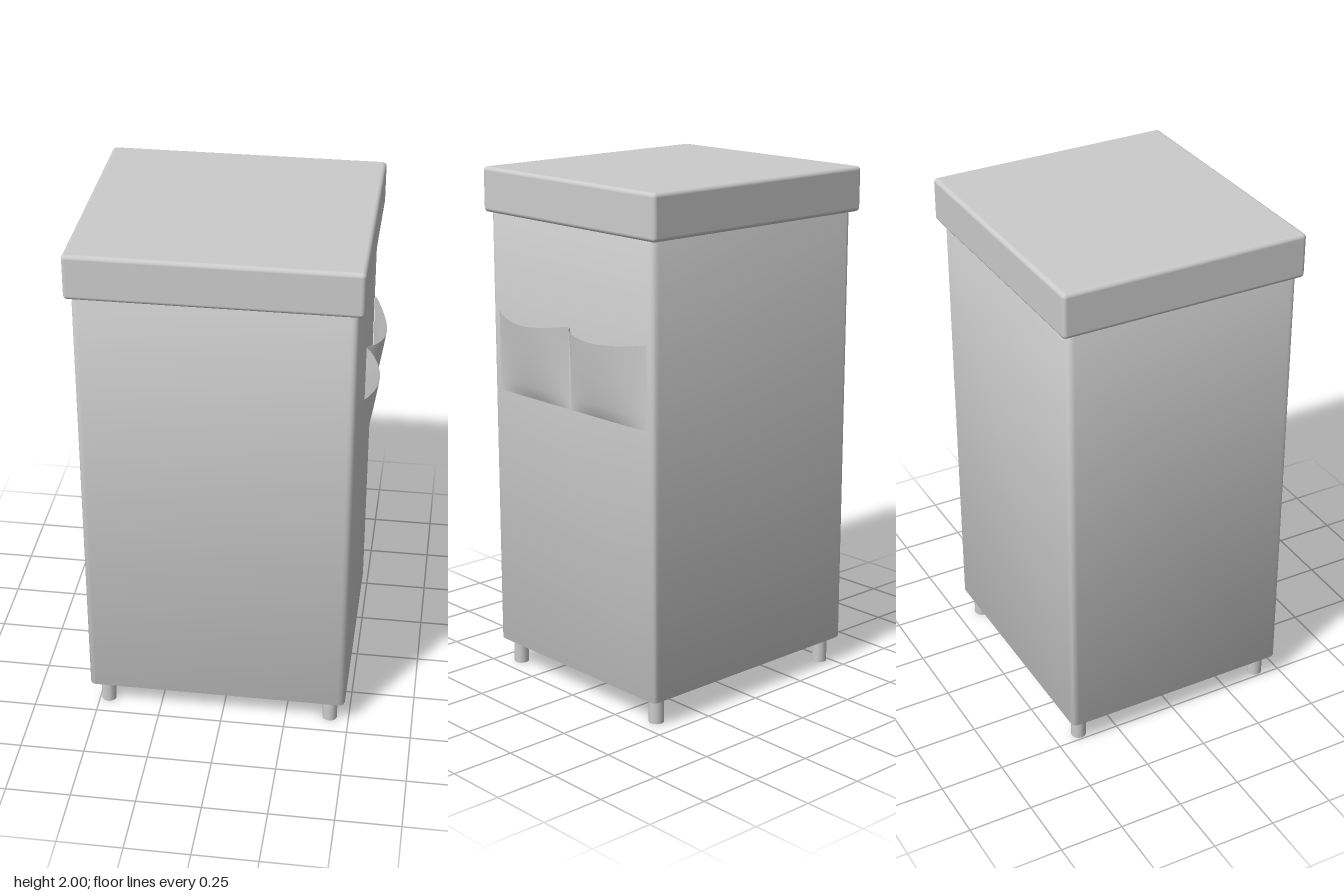
import * as THREE from 'three';
import { RoundedBoxGeometry } from 'three/addons/geometries/RoundedBoxGeometry.js';
import { toCreasedNormals } from 'three/addons/utils/BufferGeometryUtils.js';

const CX = -0.022, CZ = 0.005; // body centre
const W = 1.015, D = 0.92; // body width and depth
const POLES_X = [-0.465, 0.425], POLES_Z = [-0.4, 0.41];
const material = new THREE.MeshStandardMaterial({ color: 0xcccccc });
const cloth = new THREE.MeshStandardMaterial({ color: 0xcccccc, side: THREE.DoubleSide });

function add(parent, name, geometry, mat = material) {
  const mesh = new THREE.Mesh(geometry, mat);
  mesh.name = name;
  parent.add(mesh);
  return mesh;
}

// Round bar between two points
function bar(parent, name, a, b, radius, sides = 8) {
  const from = new THREE.Vector3(...a), to = new THREE.Vector3(...b);
  const dir = to.clone().sub(from);
  const mesh = add(parent, name, new THREE.CylinderGeometry(radius, radius, dir.length(), sides));
  mesh.position.copy(from).add(to).multiplyScalar(0.5);
  mesh.quaternion.setFromUnitVectors(new THREE.Vector3(0, 1, 0), dir.normalize());
  return mesh;
}

// Traces a rounded rectangle on a Shape or Path
function roundedRect(path, w, d, r) {
  const x = w / 2, y = d / 2;
  path.moveTo(-x + r, -y);
  path.lineTo(x - r, -y);
  path.quadraticCurveTo(x, -y, x, -y + r);
  path.lineTo(x, y - r);
  path.quadraticCurveTo(x, y, x - r, y);
  path.lineTo(-x + r, y);
  path.quadraticCurveTo(-x, y, -x, y - r);
  path.lineTo(-x, -y + r);
  path.quadraticCurveTo(-x, -y, -x + r, -y);
  return path;
}

// Cloth patch held at sides and bottom, bulging outward to an open, sagging top
function pocketGeometry(zInner, zOuter, skew) {
  const geometry = new THREE.PlaneGeometry(1, 1, 18, 12);
  const p = geometry.attributes.position;
  for (let i = 0; i < p.count; i++) {
    const u = p.getX(i) + 0.5, v = p.getY(i) + 0.5;
    const across = Math.pow(Math.max(0, Math.sin(Math.PI * Math.pow(u, skew))), 0.85);
    const bulge = 0.064 * across * Math.pow(v, 0.65);
    const top = 1.455 - 0.02 * Math.sin(Math.PI * u);
    p.setXYZ(i, 0.488 + bulge, 1.14 + (top - 1.14) * v, zInner + (zOuter - zInner) * u);
  }
  geometry.computeVertexNormals();
  return geometry;
}

export function createModel() {
  const model = new THREE.Group();
  model.name = 'laundryHamper';

  // Cloth body: a tube of four walls, open at the bottom
  const bevel = 0.006;
  const outline = roundedRect(new THREE.Shape(), W - 2 * bevel, D - 2 * bevel, 0.02);
  outline.holes.push(roundedRect(new THREE.Path(), W - 0.026, D - 0.026, 0.015));
  const walls = new THREE.ExtrudeGeometry(outline, {
    depth: 1.75 - 2 * bevel, bevelEnabled: true, bevelSize: bevel,
    bevelThickness: bevel, bevelSegments: 2, curveSegments: 5,
  });
  walls.rotateX(-Math.PI / 2);
  walls.translate(CX, 0.1 + bevel, CZ);
  add(model, 'body', toCreasedNormals(walls, 0.7));

  // Lid
  const lid = add(model, 'lid', new RoundedBoxGeometry(1.06, 0.172, 0.966, 3, 0.016));
  lid.position.set(-0.023, 1.914, 0);

  // Side pockets
  const pockets = new THREE.Group();
  pockets.name = 'pockets';
  model.add(pockets);
  add(pockets, 'frontPocket', pocketGeometry(0.008, 0.42, 0.9), cloth);
  add(pockets, 'backPocket', pocketGeometry(-0.002, -0.42, 0.74), cloth);

  // Inner frame: corner poles that end as feet, with rails at top and bottom
  const frame = new THREE.Group();
  frame.name = 'frame';
  model.add(frame);
  const [x0, x1] = POLES_X, [z0, z1] = POLES_Z;
  for (const x of POLES_X) {
    for (const z of POLES_Z) bar(frame, 'cornerPole', [x, 0, z], [x, 1.82, z], 0.029, 16);
  }
  const shelfY = 0.25;
  for (const y of [shelfY, 1.79]) {
    for (const z of POLES_Z) bar(frame, 'rail', [x0, y, z], [x1, y, z], 0.015);
    for (const x of POLES_X) bar(frame, 'rail', [x, y, z0], [x, y, z1], 0.015);
  }

  // Wire shelf that forms the floor
  const shelf = new THREE.Group();
  shelf.name = 'wireShelf';
  model.add(shelf);
  const count = 5;
  for (let i = 1; i <= count; i++) {
    const t = i / (count + 1);
    const x = x0 + (x1 - x0) * t, z = z0 + (z1 - z0) * t;
    bar(shelf, 'wire', [x, shelfY, z0], [x, shelfY, z1], 0.01, 6);
    bar(shelf, 'wire', [x0, shelfY, z], [x1, shelfY, z], 0.01, 6);
  }
  return model;
}
